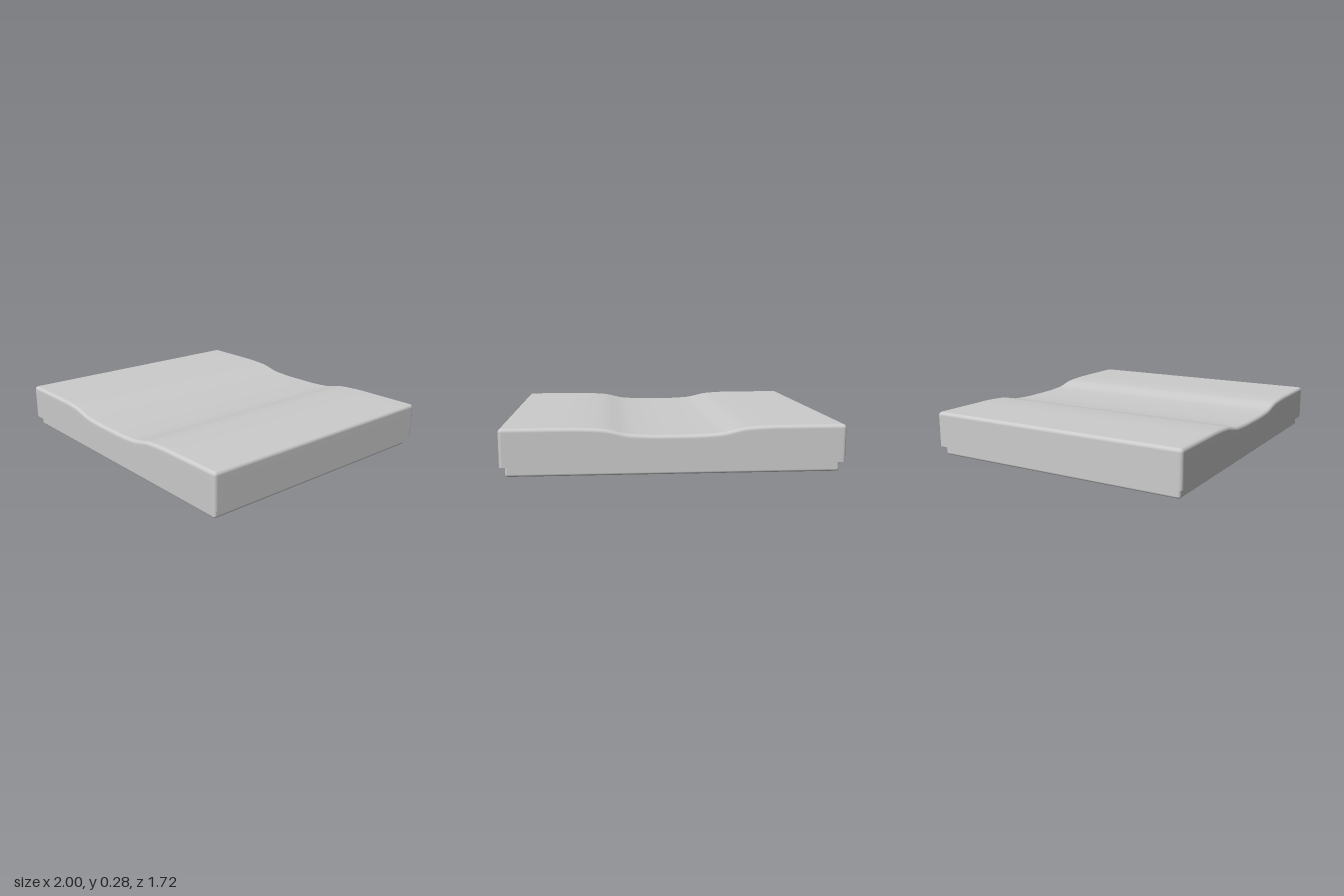
import * as THREE from 'three';
import { mergeVertices } from 'three/addons/utils/BufferGeometryUtils.js';
import { RoundedBoxGeometry } from 'three/addons/geometries/RoundedBoxGeometry.js';

const { clamp, lerp, smoothstep } = THREE.MathUtils;
const HEM = 0.06, TOP = 0.282, HALF_X = 1, HALF_Z = 0.86, R = 0.022;
const BEVEL = 4; // segments spent on each rounded edge

// Depth of the shallow trough that runs front to back
function dip(x) {
  const t = Math.abs(x);
  const rise = 0.6 * smoothstep(t, 0.08, 0.6) + 0.4 * smoothstep(t, 0.25, 0.42);
  return 0.048 * (1 - rise);
}

// Maps an even 0..1 grid position so that the outer segments fall in the rounded edge
function spread(f, n, half) {
  const i = Math.round(f * n);
  if (i <= BEVEL) return lerp(-half, -half + R, i / BEVEL);
  if (i >= n - BEVEL) return lerp(half, half - R, (n - i) / BEVEL);
  return lerp(-half + R, half - R, (i - BEVEL) / (n - 2 * BEVEL));
}

// Box with rounded upright and top edges, open below, its top sunk by the trough
function coverGeometry() {
  const nx = 88, ny = 8, nz = 24;
  const geo = new THREE.BoxGeometry(1, 1, 1, nx, ny, nz);
  const floor = geo.groups[3];
  const index = Array.from(geo.index.array);
  index.splice(floor.start, floor.count);
  geo.setIndex(index);
  geo.clearGroups();

  const pos = geo.attributes.position;
  const p = new THREE.Vector3(), core = new THREE.Vector3();
  for (let i = 0; i < pos.count; i++) {
    p.fromBufferAttribute(pos, i).addScalar(0.5);
    const row = Math.round(p.y * ny), lower = ny - BEVEL;
    const y = row <= lower
      ? lerp(HEM, TOP - R, row / lower)
      : lerp(TOP - R, TOP, (row - lower) / BEVEL);
    p.set(spread(p.x, nx, HALF_X), y, spread(p.z, nz, HALF_Z));
    core.set(
      clamp(p.x, -HALF_X + R, HALF_X - R),
      Math.min(p.y, TOP - R),
      clamp(p.z, -HALF_Z + R, HALF_Z - R)
    );
    p.sub(core).setLength(R).add(core);
    p.y -= dip(p.x) * clamp((p.y - HEM) / (TOP - R - HEM), 0, 1);
    pos.setXYZ(i, p.x, p.y, p.z);
  }
  geo.deleteAttribute('uv');
  geo.deleteAttribute('normal');
  const smooth = mergeVertices(geo, 1e-5);
  smooth.computeVertexNormals();
  return smooth;
}

export function createModel() {
  const model = new THREE.Group();
  model.name = 'coveredSlab';

  // Inner slab, showing as a recessed plinth below the cover
  const slabHeight = 0.21;
  const slab = new THREE.Mesh(
    new RoundedBoxGeometry(1.94, slabHeight, 1.67, 4, 0.015),
    new THREE.MeshStandardMaterial({ color: 0xcccccc })
  );
  slab.name = 'innerSlab';
  slab.position.y = slabHeight / 2;

  // Thin cover draped over the slab
  const cover = new THREE.Mesh(
    coverGeometry(),
    new THREE.MeshStandardMaterial({ color: 0xcccccc, side: THREE.DoubleSide })
  );
  cover.name = 'cover';

  model.add(slab, cover);
  return model;
}
